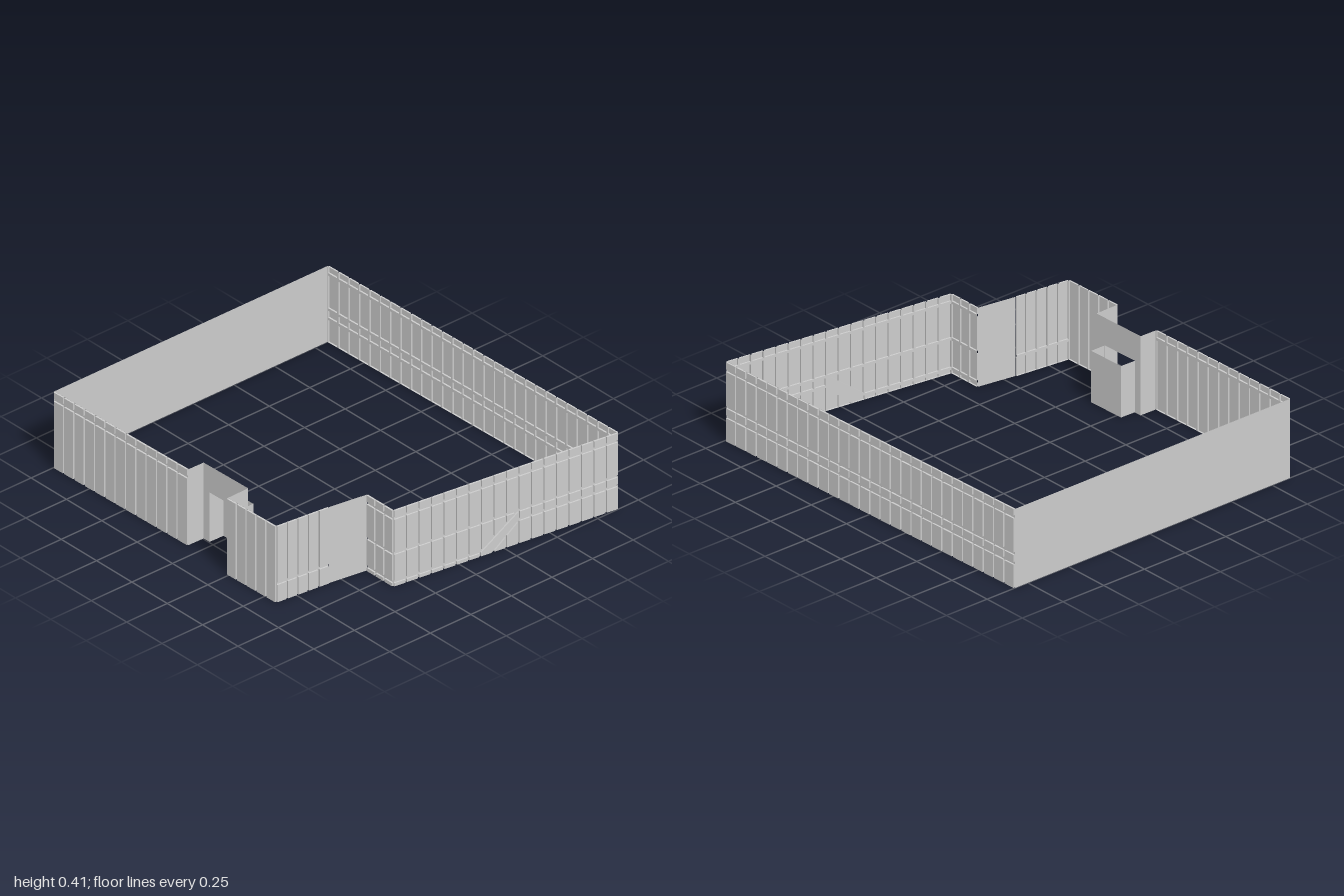
import * as THREE from 'three';

const H = 0.415;      // wall height
const GAP = 0.009;    // groove width
const DEPTH = 0.009;  // panel relief
const EDGE = 0.0008;  // rim kept around the outer border

const material = new THREE.MeshStandardMaterial({
  color: 0xcccccc, flatShading: true, side: THREE.DoubleSide,
});

// Places wall-local geometry (u along, y up, z outward) between two plan points [x, z]
function place(mesh, a, b) {
  mesh.position.set(a[0], 0, a[1]);
  mesh.rotation.y = -Math.atan2(b[1] - a[1], b[0] - a[0]);
  return mesh;
}

const length = (a, b) => Math.hypot(b[0] - a[0], b[1] - a[1]);

// Flat single-sheet wall
function plainWall(name, a, b, y0 = 0, y1 = H) {
  const len = length(a, b);
  const geo = new THREE.PlaneGeometry(len, y1 - y0);
  geo.translate(len / 2, (y0 + y1) / 2, 0);
  const mesh = new THREE.Mesh(geo, material);
  mesh.name = name;
  return place(mesh, a, b);
}

// Pressed panels: raised front faces and their rims, hollow behind
function panelGeometry(panels) {
  const pos = [];
  const z0 = -DEPTH / 2, z1 = DEPTH / 2;
  const tri = (...pts) => pts.forEach((p) => pos.push(...p));
  for (const poly of panels) {
    for (let i = 1; i < poly.length - 1; i++) {
      tri([...poly[0], z1], [...poly[i], z1], [...poly[i + 1], z1]);
    }
    poly.forEach((p, i) => {
      const q = poly[(i + 1) % poly.length];
      tri([...p, z0], [...q, z0], [...q, z1]);
      tri([...p, z0], [...q, z1], [...p, z1]);
    });
  }
  const geo = new THREE.BufferGeometry();
  geo.setAttribute('position', new THREE.Float32BufferAttribute(pos, 3));
  geo.computeVertexNormals();
  return geo;
}

// Sheet at groove level, with an opening behind every panel
function grooveGeometry(len, panels) {
  const shape = new THREE.Shape([[0, 0], [len, 0], [len, H], [0, H]].map((p) => new THREE.Vector2(...p)));
  shape.holes = panels.map((poly) => new THREE.Path(poly.map((p) => new THREE.Vector2(...p))));
  return new THREE.ShapeGeometry(shape).translate(0, 0, -DEPTH / 2);
}

// Columns of panels between two height functions, limited to u in [from, to]
function columns(len, count, lo, hi, from = 0, to = len, breaks = []) {
  const out = [];
  const step = len / count;
  for (let i = 0; i < count; i++) {
    const u0 = Math.max(i * step + GAP / 2, from);
    const u1 = Math.min((i + 1) * step - GAP / 2, to);
    if (u1 - u0 < 0.004) continue;
    const us = [u0, ...breaks.filter((b) => b > u0 && b < u1), u1];
    const lower = us.map((u) => [u, lo(u)]);
    const upper = us.map((u) => [u, hi(u)]).reverse();
    out.push([...lower, ...upper]);
  }
  return out;
}

const rowsOf = (len, count, rows) =>
  rows.flatMap(([y0, y1]) => columns(len, count, () => y0, () => y1));

function panelWall(name, a, b, panels) {
  const group = new THREE.Group();
  group.name = name;
  const sheet = new THREE.Mesh(grooveGeometry(length(a, b), panels), material);
  sheet.name = name + 'Grooves';
  const raised = new THREE.Mesh(panelGeometry(panels), material);
  raised.name = name + 'Panels';
  group.add(sheet, raised);
  return place(group, a, b);
}

// Right wall: a band that runs low, climbs diagonally, then runs on higher up
function steppedPanels(len, count, topRows) {
  const ramp = (u, u0, u1, y0, y1) =>
    y0 + (y1 - y0) * THREE.MathUtils.clamp((u - u0) / (u1 - u0), 0, 1);
  const above = (u) => ramp(u, 0.484, 0.685, 0.032, 0.18);
  const below = (u) => ramp(u, 0.556, 0.698, EDGE, 0.122);
  return [
    ...rowsOf(len, count, topRows),
    ...columns(len, count, above, () => 0.173, 0, 0.672, [0.484]),
    ...columns(len, count, () => EDGE, () => 0.018, 0, 0.478),
    ...columns(len, count, () => 0.136, () => 0.173, 0.703),
    ...columns(len, count, () => EDGE, below, 0.562, len, [0.698]),
    [[0.486, EDGE], [0.543, EDGE], [0.694, 0.135], [0.694, 0.172], [0.486, 0.02]],
  ];
}

export function createModel() {
  const model = new THREE.Group();
  model.name = 'perimeterWalls';

  const top = H - EDGE;
  const crown = [0.379, top];
  const upper = [0.187, 0.365];

  // Plan corners, [x, z]
  const frontLeft = [-1, 0.86], doorA = [-0.073, 0.84], doorB = [0.238, 0.87];
  const frontRight = [0.575, 0.862], sideEnd = [0.608, 0.565];
  const notch = [0.64, 0.36], notchCorner = [0.827, 0.36];
  const backRight = [0.995, -0.88], backLeft = [-1, -0.83];

  // Panelled walls
  const walls = [
    ['frontWall', frontLeft, doorA, 13, [[EDGE, 0.365], crown]],
    ['frontCornerWall', doorB, frontRight, 5, [[EDGE, top]]],
    ['cornerSideWall', frontRight, sideEnd, 5, [[EDGE, 0.095], [0.108, top]]],
    ['notchWall', notch, notchCorner, 3, [[EDGE, 0.018], [0.032, 0.173], upper, crown]],
    ['backWall', backRight, backLeft, 28, [[EDGE, 0.122], [0.136, 0.173], upper, crown]],
  ];
  for (const [name, a, b, count, rows] of walls) {
    model.add(panelWall(name, a, b, rowsOf(length(a, b), count, rows)));
  }
  const rightLen = length(notchCorner, backRight);
  model.add(panelWall('rightWall', notchCorner, backRight,
    steppedPanels(rightLen, 18, [upper, crown])));

  // Plain walls
  model.add(plainWall('plainEndWall', backLeft, frontLeft));
  model.add(plainWall('plainNotchWall', sideEnd, notch));

  // Entrance: side walls, pierced wall, and a doorway set further in
  const innerA = [-0.071, 0.746], innerB = [0.236, 0.739];
  model.add(plainWall('entranceSideWall', doorA, innerA));
  model.add(plainWall('entranceSideWall', innerB, doorB));

  const w = length(innerA, innerB);
  const u0 = 0.041, u1 = 0.249, doorHeight = 0.27;
  const outline = [[0, 0], [u0, 0], [u0, doorHeight], [u1, doorHeight], [u1, 0], [w, 0], [w, H], [0, H]];
  const pierced = new THREE.Mesh(
    new THREE.ShapeGeometry(new THREE.Shape(outline.map((p) => new THREE.Vector2(...p)))), material);
  pierced.name = 'entranceWall';
  model.add(place(pierced, innerA, innerB));

  const jambA = [-0.03, 0.745], jambB = [0.178, 0.74];
  const leafA = [-0.028, 0.662], leafB = [0.178, 0.657];
  model.add(plainWall('doorJamb', jambA, leafA, 0, doorHeight));
  model.add(plainWall('doorJamb', leafB, jambB, 0, doorHeight));
  model.add(plainWall('door', leafA, leafB, 0, doorHeight));

  return model;
}
